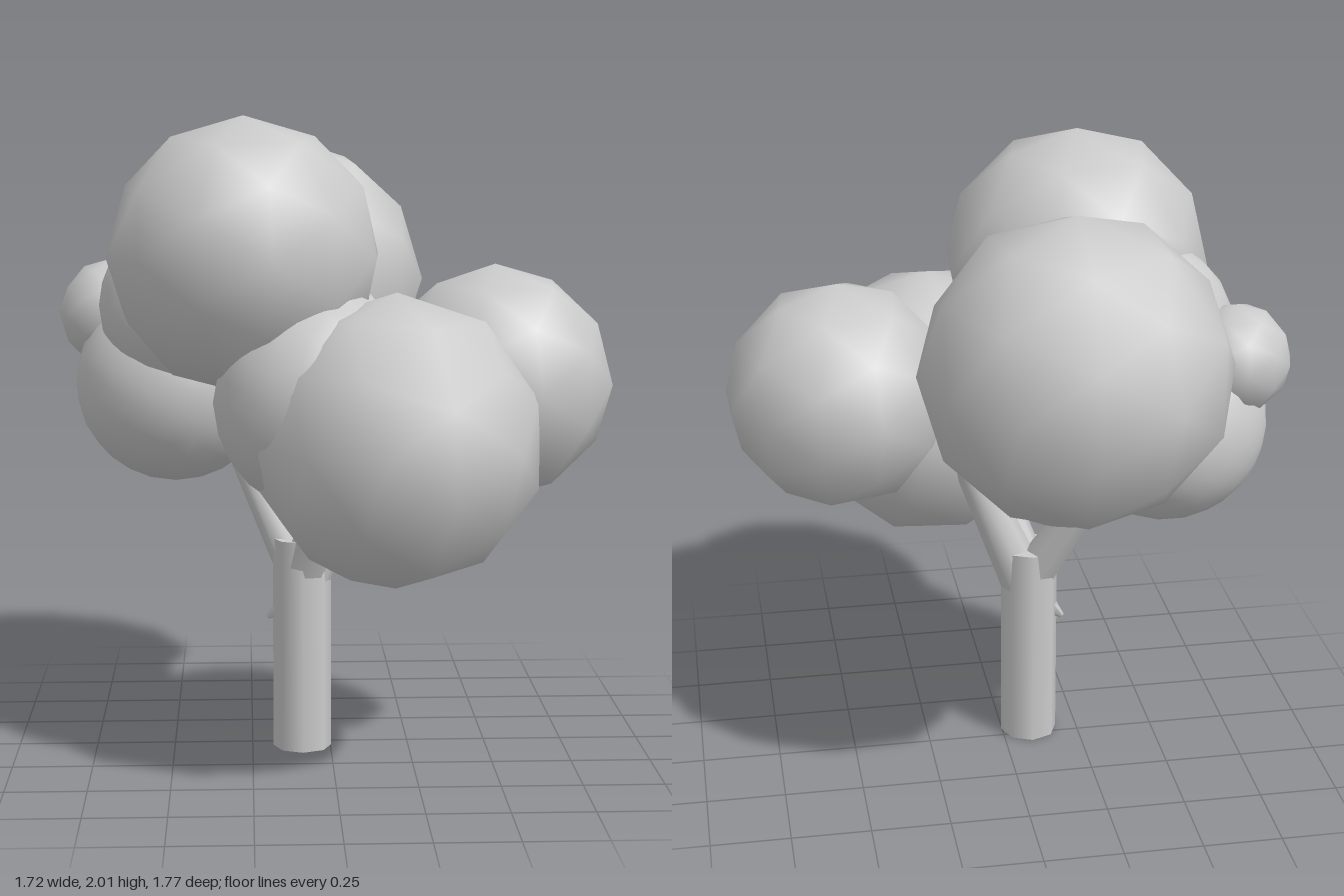
import * as THREE from 'three';

const material = new THREE.MeshStandardMaterial({ color: 0xcccccc });

// Tapered limb running from one point to another
function limb(name, from, to, r0, r1, sides = 8) {
  const a = new THREE.Vector3(...from), b = new THREE.Vector3(...to);
  const dir = b.clone().sub(a);
  const mesh = new THREE.Mesh(new THREE.CylinderGeometry(r1, r0, dir.length(), sides), material);
  mesh.name = name;
  mesh.position.copy(a).add(b).multiplyScalar(0.5);
  mesh.quaternion.setFromUnitVectors(new THREE.Vector3(0, 1, 0), dir.normalize());
  return mesh;
}

// Rounded leaf clump: a coarse or fine icosphere with smooth normals
function clump(name, x, y, z, r, detail, turn = 0) {
  const mesh = new THREE.Mesh(new THREE.IcosahedronGeometry(r, detail), material);
  mesh.name = name;
  mesh.position.set(x, y, z);
  mesh.rotation.y = turn;
  return mesh;
}

export function createModel() {
  const tree = new THREE.Group();
  tree.name = 'tree';

  // Trunk, forking branches and a broken twig
  const wood = new THREE.Group();
  wood.name = 'wood';
  wood.add(
    limb('trunk', [-0.09, 0, 0.042], [-0.09, 0.68, 0.042], 0.093, 0.093),
    limb('leftBranch', [-0.07, 0.56, 0.04], [0.12, 1.02, 0.06], 0.075, 0.05),
    limb('rightBranch', [-0.11, 0.6, 0.03], [-0.32, 1.02, -0.13], 0.07, 0.04),
    limb('frontBranch', [-0.09, 0.56, 0.05], [0.04, 0.98, 0.24], 0.075, 0.045),
    limb('twig', [-0.14, 0.47, 0.04], [-0.2, 0.42, 0.03], 0.04, 0.008, 6),
  );
  tree.add(wood);

  // Foliage: name, x, y, z, radius, detail, turn
  const foliage = new THREE.Group();
  foliage.name = 'foliage';
  [
    ['topClump', -0.27, 1.59, 0.24, 0.42, 1, 0.2],
    ['backClump', -0.145, 1.47, -0.43, 0.47, 1, 0.5],
    ['frontClump', 0.18, 1.05, 0.455, 0.445, 1, 0.9],
    ['leftClump', 0.5, 1.195, 0.19, 0.365, 1, 0.3],
    ['rightClump', -0.49, 1.165, -0.11, 0.318, 4],
    ['smallRightClump', -0.69, 1.38, -0.18, 0.175, 1],
    ['upperRightClump', -0.44, 1.42, 0, 0.285, 3],
    ['innerFrontClump', -0.03, 1.16, 0.38, 0.335, 3],
    ['coreClump', -0.08, 1.24, 0, 0.3, 3],
    ['underBackClump', -0.14, 1.19, -0.28, 0.27, 3],
  ].forEach((part) => foliage.add(clump(...part)));
  tree.add(foliage);

  return tree;
}
